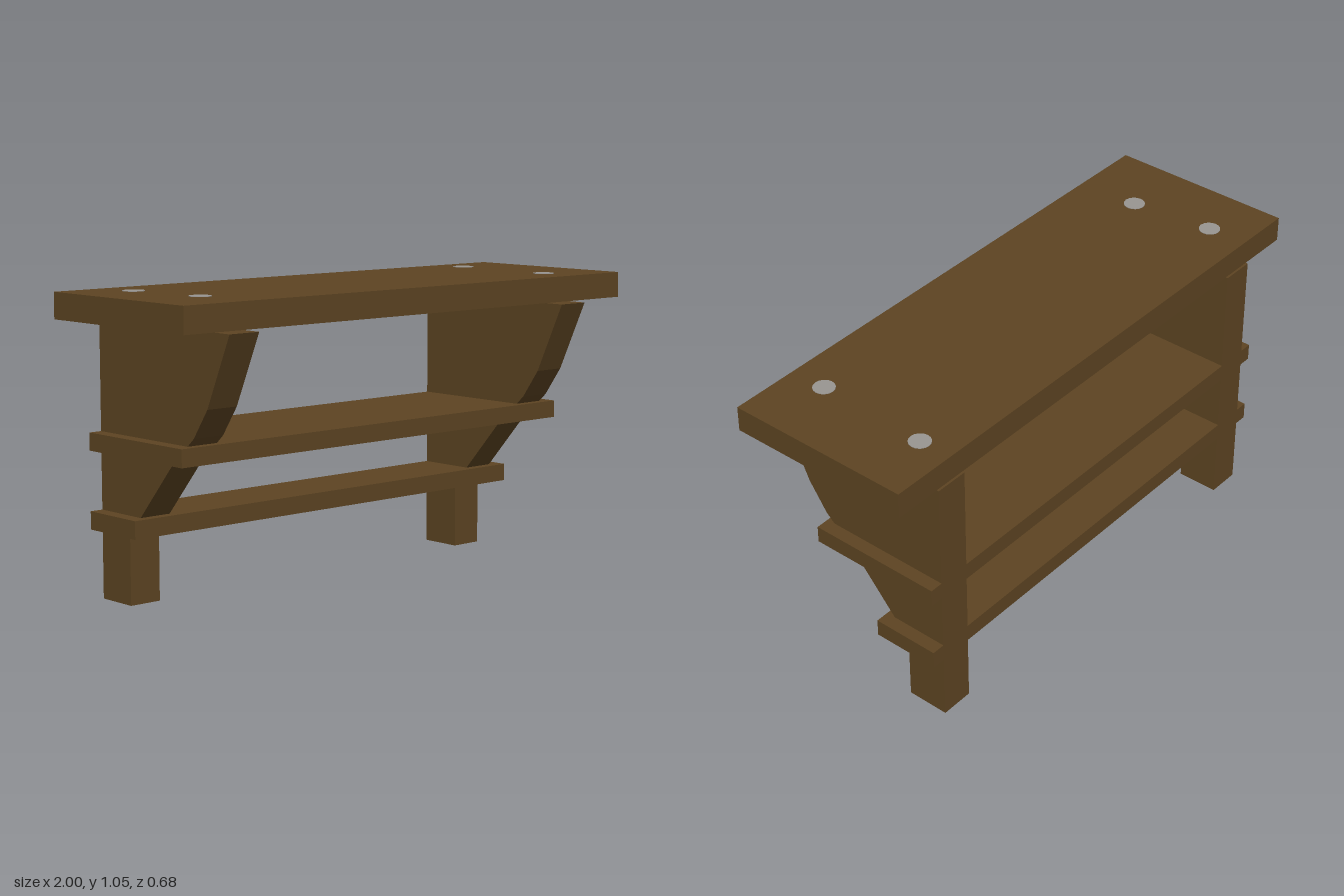
import * as THREE from 'three';

const BACK = -0.34;

export function createModel() {
  const group = new THREE.Group();
  const wood = new THREE.MeshStandardMaterial({ color: 0x5d4422 });
  wood.name = 'brown wood';
  const metal = new THREE.MeshStandardMaterial({ color: 0x999591 });
  metal.name = 'grey metal';

  const add = (name, geometry, material, x = 0, y = 0, z = 0) => {
    const mesh = new THREE.Mesh(geometry, material);
    mesh.name = name;
    mesh.position.set(x, y, z);
    group.add(mesh);
  };

  // Boards run from the back plane forward, centred on x
  const board = (name, width, y0, y1, front) =>
    add(name, new THREE.BoxGeometry(width, y1 - y0, front - BACK), wood,
      0, (y0 + y1) / 2, (front + BACK) / 2);

  board('tableTop', 2, 0.957, 1.047, 0.34);
  board('upperShelf', 1.736, 0.51, 0.571, 0.155);
  board('lowerShelf', 1.736, 0.243, 0.305, -0.095);

  // Side supports: profile in (z, y), widening towards the top
  const profile = [
    [BACK, 0], [-0.187, 0], [-0.187, 0.243], [-0.128, 0.305], [0.035, 0.49],
    [0.157, 0.6], [0.227, 0.7], [0.34, 0.947], [BACK, 0.947],
  ].map(([z, y]) => new THREE.Vector2(z, y));
  const thickness = 0.12;
  const support = new THREE.ExtrudeGeometry(new THREE.Shape(profile),
    { depth: thickness, bevelEnabled: false });
  support.rotateY(-Math.PI / 2).translate(thickness / 2, 0, 0);
  add('leftSupport', support, wood, 0.76);
  add('rightSupport', support, wood, -0.76);

  // Bolt heads, unevenly placed and nearly flush with the top
  const bolt = new THREE.CylinderGeometry(0.038, 0.038, 0.004, 16);
  for (const [x, z] of [[-0.787, -0.193], [0.765, -0.217], [-0.752, 0.111], [0.75, 0.203]]) {
    add('boltHead', bolt, metal, x, 1.047, z);
  }
  return group;
}
